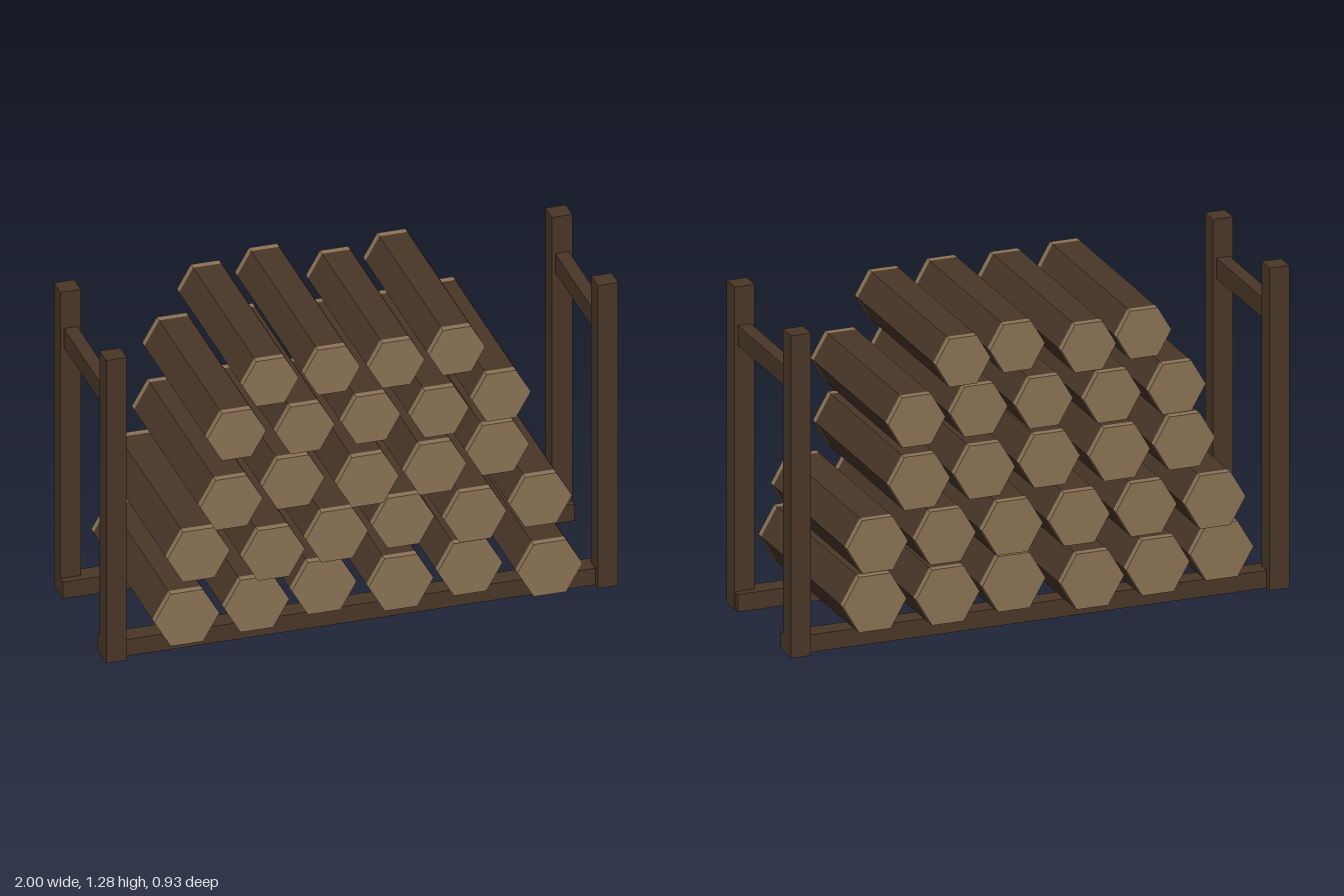
import * as THREE from 'three';

export function createModel() {
  const model = new THREE.Group();
  model.name = 'firewoodRack';

  const darkWood = new THREE.MeshStandardMaterial({ color: 0x4a3728, flatShading: true });
  darkWood.name = 'darkWood';
  const cutWood = new THREE.MeshStandardMaterial({ color: 0x8b7355, flatShading: true });
  cutWood.name = 'cutWood';

  function beam(name, w, h, d, x, y, z) {
    const mesh = new THREE.Mesh(new THREE.BoxGeometry(w, h, d), darkWood);
    mesh.name = name;
    mesh.position.set(x, y, z);
    model.add(mesh);
  }

  // Rack: four posts, two floor rails, a crossbar at each side
  for (const s of [-1, 1]) {
    const side = s > 0 ? 'left' : 'right';
    for (const f of [-1, 1]) {
      beam(side + (f > 0 ? 'Front' : 'Back') + 'Post', 0.08, 1.28, 0.08, s * 0.96, 0.64, f * 0.28);
    }
    beam(side + 'Crossbar', 0.053, 0.08, 0.48, s * 0.96, 1.085, 0);
    beam(s > 0 ? 'frontRail' : 'backRail', 1.998, 0.07, 0.08, 0, 0.0352, s * 0.25);
  }

  // Hexagonal prism along z, with corners pointing to the sides
  function prism(name, radius, z0, z1, material, openEnded) {
    const geo = new THREE.CylinderGeometry(radius, radius, z1 - z0, 6, 1, openEnded);
    geo.rotateY(Math.PI / 6).rotateX(Math.PI / 2).translate(0, 0, (z0 + z1) / 2);
    const mesh = new THREE.Mesh(geo, material);
    mesh.name = name;
    return mesh;
  }

  // Rows of logs: height, radius, first x, spacing, and [back, front] of each log
  const rows = [
    { y: 0.197, r: 0.127, x: -0.717, step: 0.281, ends: [[-0.35, 0.42], [-0.41, 0.395], [-0.455, 0.34], [-0.37, 0.4], [-0.41, 0.365], [-0.38, 0.462]] },
    { y: 0.433, r: 0.122, x: -0.658, step: 0.2686, ends: [[-0.43, 0.38], [-0.41, 0.455], [-0.41, 0.39], [-0.41, 0.36], [-0.41, 0.4], [-0.4, 0.36]] },
    { y: 0.668, r: 0.122, x: -0.551, step: 0.2688, ends: [[-0.39, 0.445], [-0.41, 0.36], [-0.38, 0.43], [-0.4, 0.415], [-0.42, 0.34]] },
    { y: 0.904, r: 0.115, x: -0.503, step: 0.2577, ends: [[-0.435, 0.36], [-0.43, 0.39], [-0.39, 0.39], [-0.38, 0.42], [-0.4, 0.37]] },
    { y: 1.126, r: 0.11, x: -0.382, step: 0.245, ends: [[-0.405, 0.395], [-0.463, 0.38], [-0.362, 0.402], [-0.428, 0.375]] },
  ];
  const cap = 0.028;
  rows.forEach((row, i) => {
    row.ends.forEach(([back, front], j) => {
      const log = new THREE.Group();
      log.name = `logRow${i + 1}Number${j + 1}`;
      log.position.set(row.x + j * row.step, row.y, 0);
      log.add(
        prism('bark', row.r, back + cap, front - cap, darkWood, true),
        prism('backCutEnd', row.r, back, back + cap, cutWood, false),
        prism('frontCutEnd', row.r, front - cap, front, cutWood, false)
      );
      model.add(log);
    });
  });

  return model;
}
